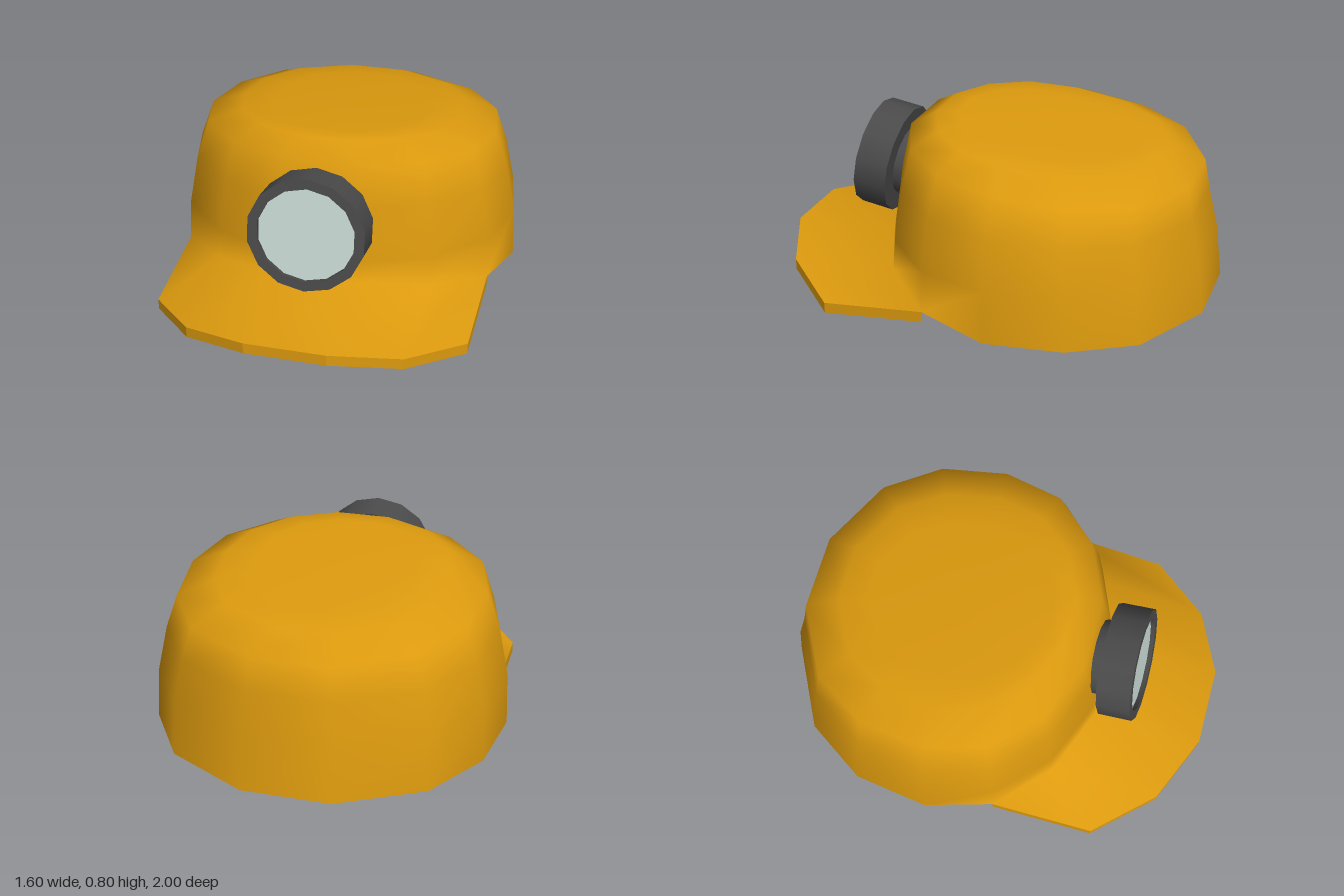
import * as THREE from 'three';

// Join rows of [x, y, z] points into an indexed surface; closed rows wrap round
function loft(rows, closed, extra = []) {
  const pos = rows.flat(2), idx = [], n = rows[0].length;
  for (let r = 0; r < rows.length - 1; r++) {
    for (let i = 0; i < (closed ? n : n - 1); i++) {
      const j = (i + 1) % n, a = r * n + i, b = r * n + j;
      idx.push(a, b, b + n, a, b + n, a + n);
    }
  }
  idx.push(...extra);
  const g = new THREE.BufferGeometry();
  g.setAttribute('position', new THREE.Float32BufferAttribute(pos, 3));
  g.setIndex(idx);
  return g;
}

// Right half of a row, mirrored to the left
const mirror = half => [...half.map(([x, y, z]) => [-x, y, z]).reverse(), ...half];

export function createModel() {
  const model = new THREE.Group();
  const mat = (name, color, side = THREE.DoubleSide) => {
    const m = new THREE.MeshStandardMaterial({ color, side });
    m.name = name;
    return m;
  };
  const shell = mat('orange shell', 0xdc9a0e);
  const dark = mat('dark grey housing', 0x4a4a4a);
  const glass = mat('pale glass', 0xc8d9d2, THREE.FrontSide);
  const add = (parent, name, geometry, material) => {
    const mesh = new THREE.Mesh(geometry, material);
    mesh.name = name;
    parent.add(mesh);
    return mesh;
  };

  // Half outline of the crown, front to back, in unit size
  const outline = [[0.24, 1], [0.62, 0.83], [0.9, 0.52], [1, 0.1], [0.94, -0.37], [0.71, -0.745], [0.25, -1]];
  const baseY = [0.21, 0.16, 0.1, 0.05, 0.05, 0.04, 0.035];
  // Crown rings: half width, back z, front z, back y, front y
  const rings = [
    [0.8, -1, 0.49, 0, 0],
    [0.79, -0.97, 0.475, 0.28, 0.3],
    [0.745, -0.925, 0.44, 0.47, 0.55],
    [0.685, -0.9, 0.4, 0.615, 0.74],
    [0.52, -0.75, 0.29, 0.69, 0.8],
    [0.37, -0.62, 0.2, 0.71, 0.8],
  ].map(([w, zb, zf, yb, yf], r) => {
    const half = outline.map(([x, t], i) => {
      const k = (t + 1) / 2;
      return [x * w, r ? yb + (yf - yb) * k : baseY[i], zb + (zf - zb) * k];
    });
    // Start at the front and go round by the model's left
    return [...half, ...half.slice().reverse().map(([x, y, z]) => [-x, y, z])];
  });

  // Brim rows, left to right across the front
  const root = rings[0].slice(0, 3);
  const rootTop = mirror(root);
  const rootBottom = mirror(root.map(([x, y, z]) => [x, y - 0.05, z]));
  const rim = [[0.18, 0.17, 1], [0.48, 0.112, 0.87], [0.71, 0.05, 0.61]];
  const rimTop = mirror(rim);
  const rimBottom = mirror(rim.map(([x, y, z]) => [x, y - 0.05, z]));

  // Crown, its cap and the brim's upper face share smooth normals
  const n = 14, last = (rings.length - 1) * n, apex = rings.length * n;
  const extra = [];
  for (let i = 0; i < n; i++) extra.push(last + i, last + (i + 1) % n, apex);
  const rimStart = apex + 1;
  const rootIndex = [11, 12, 13, 0, 1, 2];
  for (let k = 0; k < 5; k++) {
    const a = rimStart + k, c = rootIndex[k + 1], d = rootIndex[k];
    extra.push(a, a + 1, c, a, c, d);
  }
  const crown = loft(rings, true, extra);
  crown.setAttribute('position', new THREE.Float32BufferAttribute(
    [...rings.flat(2), 0, 0.77, -0.2, ...rimTop.flat()], 3));
  crown.computeVertexNormals();
  add(model, 'crownAndBrimTop', crown, shell);

  // Brim underside, outer edge and end caps
  const under = loft([rootTop, rootBottom, rimBottom, rimTop], false,
    [0, 6, 12, 0, 12, 18, 5, 17, 11, 5, 23, 17]).toNonIndexed();
  under.computeVertexNormals();
  add(model, 'brimUnderside', under, shell);

  // Headlamp, facing forward and tipped slightly up
  const lamp = new THREE.Group();
  lamp.name = 'headlamp';
  lamp.position.set(0, 0.4875, 0.4975);
  lamp.rotation.x = -0.16;
  lamp.scale.x = 1.03;
  model.add(lamp);
  const R = 0.256, inner = 0.212, depth = 0.157;
  const tube = (name, r, z0, z1) => {
    const g = new THREE.CylinderGeometry(r, r, z1 - z0, 14, 1, true);
    g.rotateX(Math.PI / 2).translate(0, 0, (z0 + z1) / 2);
    add(lamp, name, g, dark);
  };
  tube('lampHousing', R, 0, depth);
  tube('lampInnerWall', inner, depth - 0.02, depth);
  tube('lampMount', 0.17, -0.13, 0);
  const ring = new THREE.RingGeometry(inner, R, 14, 1, Math.PI / 2);
  add(lamp, 'lampRim', ring, dark).position.z = depth;
  const back = new THREE.CircleGeometry(R, 14, Math.PI / 2).rotateY(Math.PI);
  add(lamp, 'lampBack', back, dark);
  const lens = new THREE.CircleGeometry(inner, 14, Math.PI / 2);
  add(lamp, 'lampGlass', lens, glass).position.z = depth - 0.02;

  return model;
}
